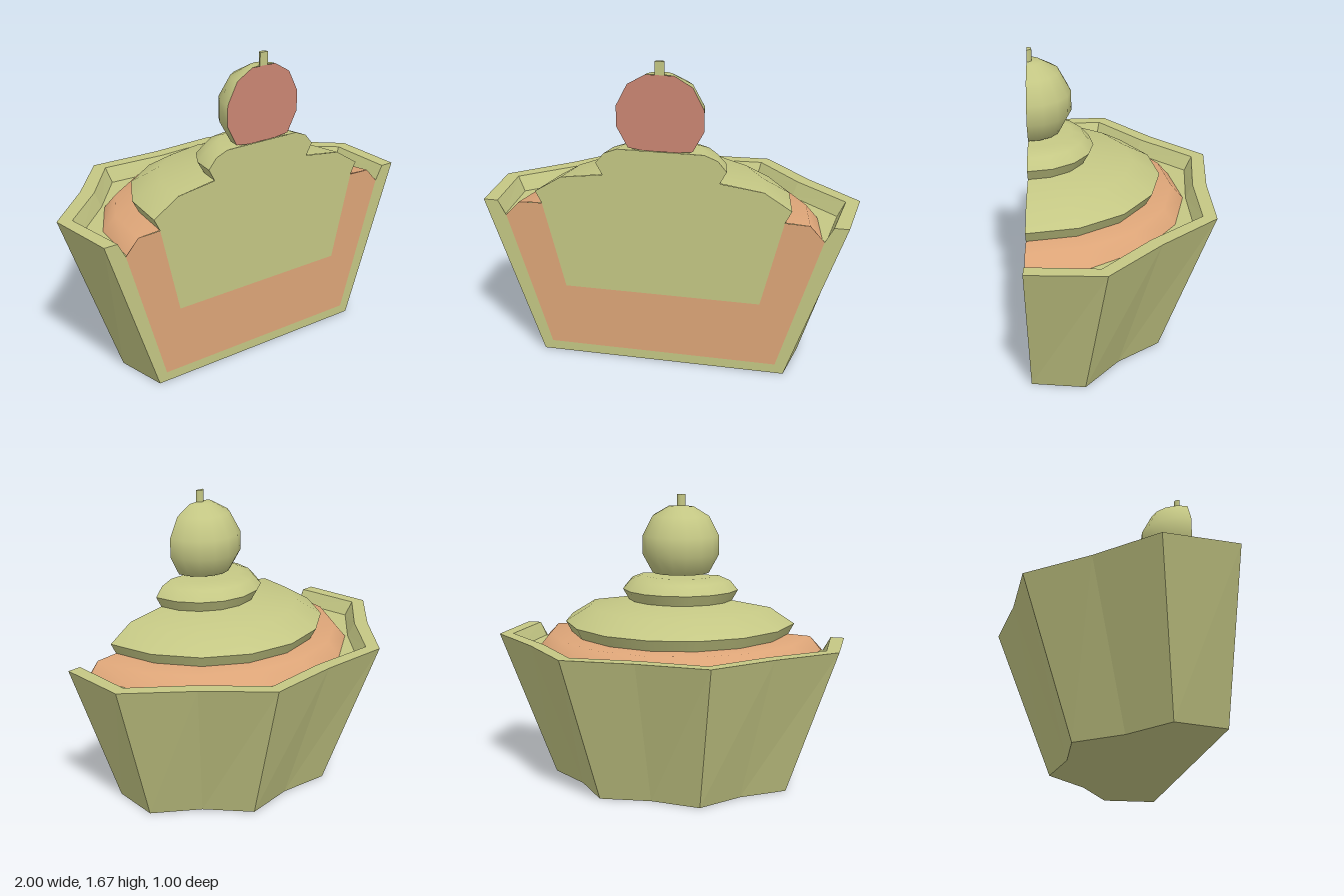
import * as THREE from 'three';

const CUT = 0.5; // z of the flat cut through the middle

const mat = (name, color, side = THREE.FrontSide) => {
  const m = new THREE.MeshStandardMaterial({ color, side });
  m.name = name;
  return m;
};

export function createModel() {
  const group = new THREE.Group();
  const cream = mat('pale olive', 0xc4c784, THREE.DoubleSide);
  const sponge = mat('orange sponge', 0xdda578, THREE.DoubleSide);
  const flesh = mat('cherry flesh', 0xcb8673, THREE.DoubleSide);

  const add = (name, geometry, material, z = CUT) => {
    const mesh = new THREE.Mesh(geometry, material);
    mesh.name = name;
    mesh.position.z = z;
    group.add(mesh);
    return mesh;
  };
  // Back half of a turned profile, listed from bottom to top
  const halfLathe = (name, pts, material, depth = 1) => {
    const g = new THREE.LatheGeometry(pts.map(p => new THREE.Vector2(...p)), 8, Math.PI / 2, Math.PI);
    add(name, g, material).scale.z = depth;
  };
  // Flat cut face: right-hand outline mirrored across x = 0
  const cutFace = (name, half, material) => {
    const mirrored = half.map(([x, y]) => [-x, y]).reverse();
    const shape = new THREE.Shape([...half, ...mirrored].map(p => new THREE.Vector2(...p)));
    add(name, new THREE.ShapeGeometry(shape), material);
  };

  // Pleated wrapper: rows of [y, valley radius, corner radius]
  const rows = [
    [0, 0, 0], [0, 0.665, 0.76], [0.86, 0.978, 1.08],
    [0.86, 0.9, 1.0], [0.78, 0.862, 0.955], [0.78, 0.82, 0.82],
  ];
  const point = (row, i) => {
    const [y, valley, corner] = rows[row];
    const a = (i * Math.PI) / 8;
    const r = i % 2 ? corner : valley;
    return [r * Math.cos(a), y, -r * Math.sin(a)];
  };
  const pos = [];
  for (let row = 0; row < rows.length - 1; row++) {
    for (let i = 0; i < 8; i++) {
      const a = point(row, i), b = point(row, i + 1);
      const c = point(row + 1, i + 1), d = point(row + 1, i);
      if (row > 0) pos.push(...a, ...b, ...c);
      pos.push(...a, ...c, ...d);
    }
  }
  const wrapper = new THREE.BufferGeometry();
  wrapper.setAttribute('position', new THREE.Float32BufferAttribute(pos, 3));
  wrapper.computeVertexNormals();
  add('wrapper', wrapper, cream);

  // Sponge dome and the two swirls of cream, undersides kept sharp
  halfLathe('spongeTop', [[0.85, 0.775], [0.78, 0.86], [0.6, 0.87]], sponge);
  halfLathe('lowerCreamUnderside', [[0.65, 0.865], [0.685, 0.93]], cream, 1.04);
  halfLathe('lowerCream', [[0.685, 0.93], [0.54, 1.02], [0.29, 1.055]], cream, 1.04);
  halfLathe('upperCreamUnderside', [[0.31, 1.05], [0.347, 1.115]], cream);
  halfLathe('upperCream', [[0.347, 1.115], [0.3, 1.17], [0.23, 1.197], [0, 1.2]], cream);

  // Cherry and stem
  const cherry = [[0, 1.195], [0.09, 1.2], [0.17, 1.21], [0.23, 1.32], [0.23, 1.43], [0.17, 1.545], [0.075, 1.6], [0, 1.605]];
  halfLathe('cherry', cherry, cream);
  const stem = add('stem', new THREE.CylinderGeometry(0.025, 0.025, 0.09, 8, 1, false, Math.PI / 2, Math.PI), cream);
  stem.position.y = 1.625;

  // Cut faces
  cutFace('wrapperCut', [
    [0.665, 0], [0.978, 0.86], [0.9, 0.86], [0.855, 0.78], [0.62, 0.05],
  ], cream);
  cutFace('spongeCut', [
    [0.62, 0.05], [0.855, 0.78], [0.78, 0.86], [0.65, 0.865], [0.53, 0.395],
  ], sponge);
  cutFace('creamCut', [
    [0.53, 0.395], [0.65, 0.865], [0.685, 0.93], [0.54, 1.02], [0.31, 1.05],
    [0.347, 1.115], [0.3, 1.17], [0.23, 1.197],
  ], cream);
  cutFace('cherryCut', cherry.slice(1, -1), flesh);
  cutFace('stemCut', [[0.025, 1.6], [0.025, 1.67]], cream);

  return group;
}
